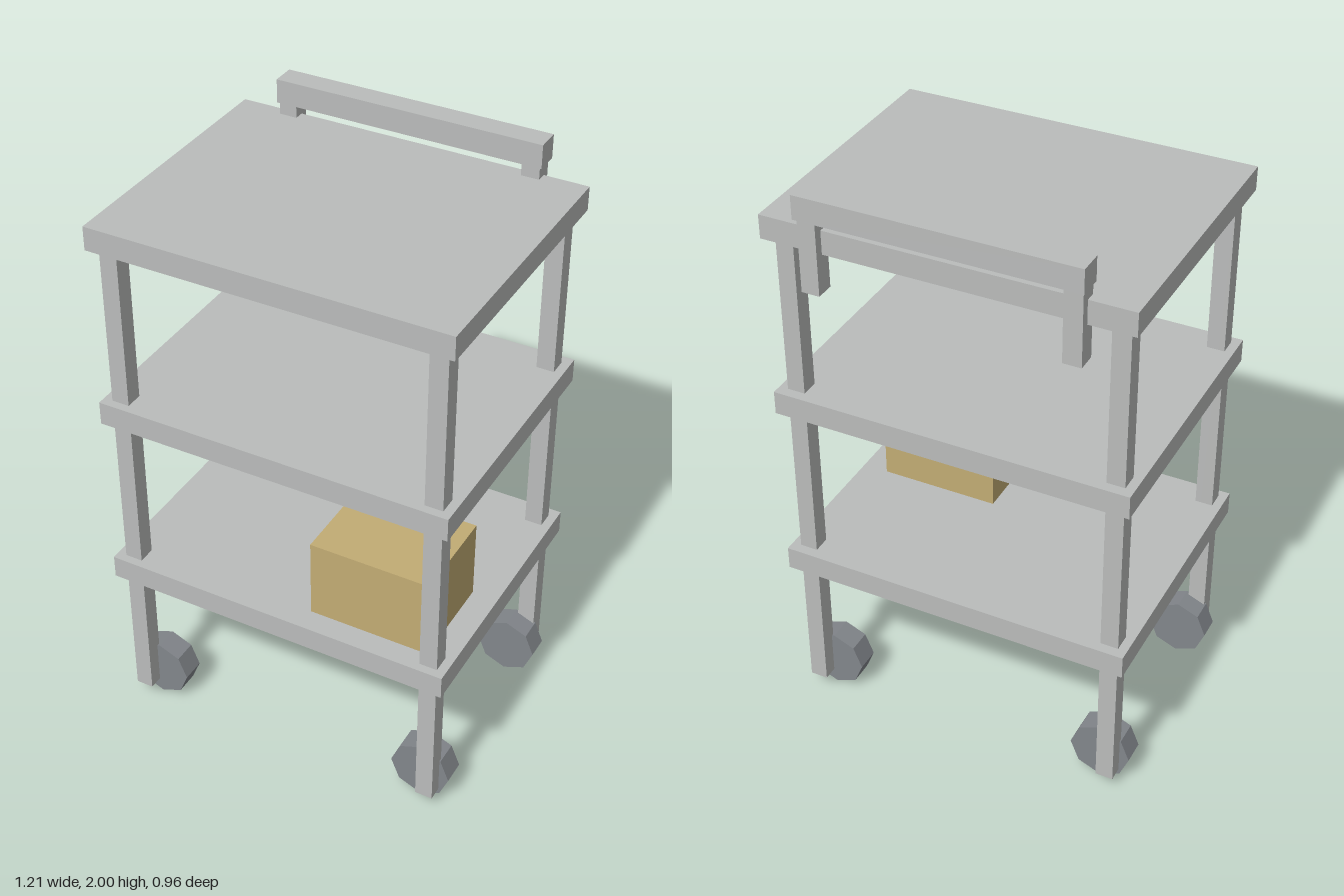
import * as THREE from 'three';

export function createModel() {
  const model = new THREE.Group();
  model.name = 'utilityCart';

  const material = (name, color) => {
    const m = new THREE.MeshStandardMaterial({ color });
    m.name = name;
    return m;
  };
  const metal = material('grey metal', 0xbabcbb);
  const rubber = material('dark grey wheel', 0x82868b);
  const cardboard = material('tan cardboard', 0xc2ac74);

  const addBox = (name, mat, w, h, d, x, y, z) => {
    const mesh = new THREE.Mesh(new THREE.BoxGeometry(w, h, d), mat);
    mesh.name = name;
    mesh.position.set(x, y, z);
    model.add(mesh);
  };

  // Three shelves
  const shelfNames = ['bottomShelf', 'middleShelf', 'topShelf'];
  [0.585, 1.212, 1.84].forEach((y, i) =>
    addBox(shelfNames[i], metal, 1.2, 0.08, 0.917, 0, y, 0.02));

  // Octagonal wheel with its axle along z and a corner at the top
  const wheelGeometry = new THREE.CylinderGeometry(0.104, 0.104, 0.082, 8)
    .rotateX(Math.PI / 2).toNonIndexed();
  wheelGeometry.computeVertexNormals();

  for (const [side, sx] of [['Left', 1], ['Right', -1]]) {
    for (const [end, postZ, wheelZ] of [['front', 0.42, 0.36], ['back', -0.374, -0.312]]) {
      // Corner post and the wheel on its inner face
      addBox(`${end}${side}Post`, metal, 0.06, 1.76, 0.06, sx * 0.54, 0.93, postZ);
      const wheel = new THREE.Mesh(wheelGeometry, rubber);
      wheel.name = `${end}${side}Wheel`;
      wheel.position.set(sx * 0.5, 0.104, wheelZ);
      model.add(wheel);
    }
    // Upright bracket holding the push handle
    addBox(`handle${side}Bracket`, metal, 0.06, 0.25, 0.063, sx * 0.42, 1.798, -0.436);
  }

  // Push handle along the back
  addBox('handleBar', metal, 0.914, 0.08, 0.08, 0, 1.96, -0.44);

  // Parcel on the bottom shelf
  addBox('parcel', cardboard, 0.412, 0.277, 0.33, 0.306, 0.7625, 0.235);

  return model;
}
